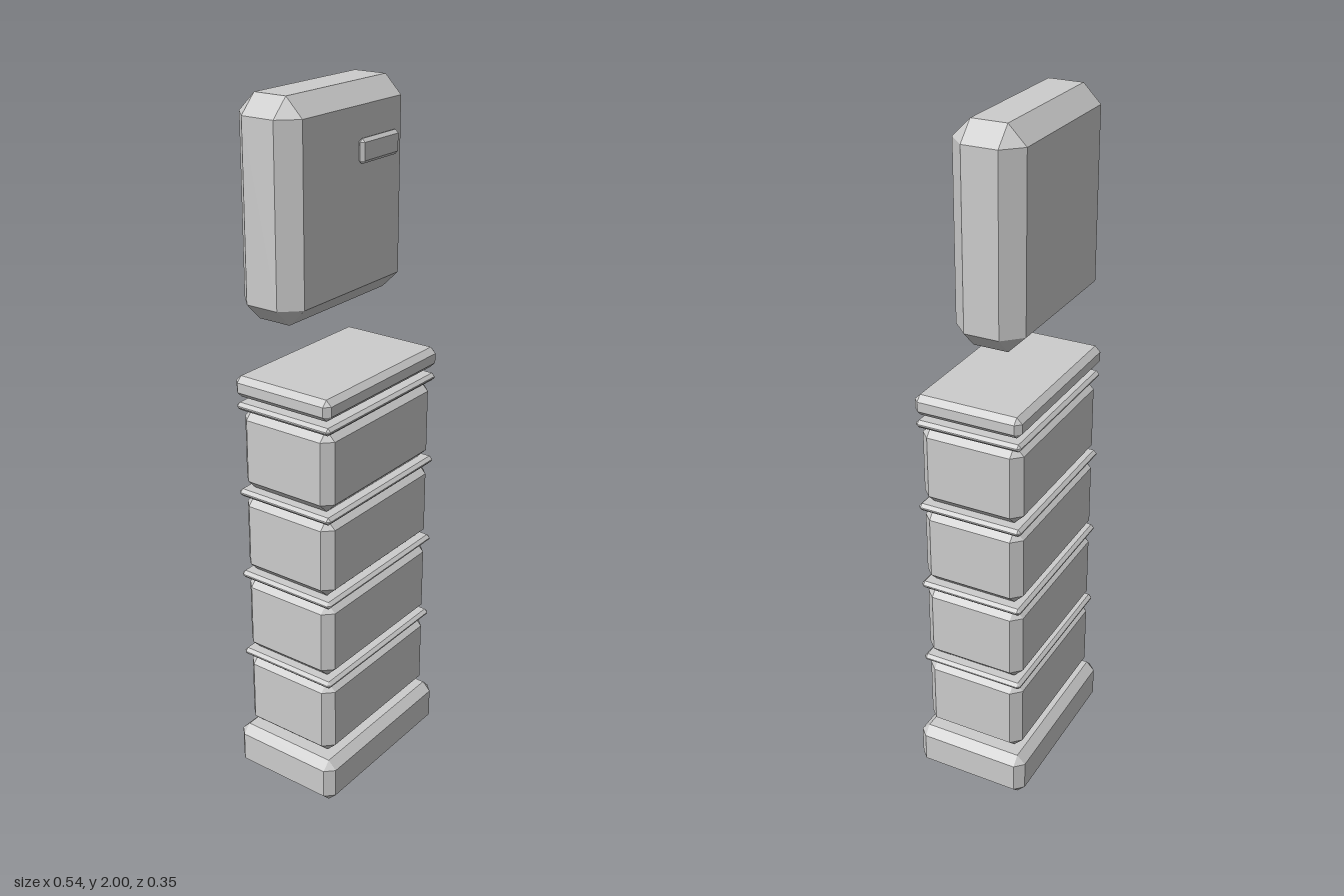
import * as THREE from 'three';
import { ConvexGeometry } from 'three/addons/geometries/ConvexGeometry.js';

// Box with bevelled edges and triangular corner cuts
function chamferBox(w, h, d, c) {
  const x = w / 2, y = h / 2, z = d / 2, points = [];
  for (const sx of [-1, 1]) for (const sy of [-1, 1]) for (const sz of [-1, 1]) {
    points.push(
      new THREE.Vector3(sx * x, sy * (y - c), sz * (z - c)),
      new THREE.Vector3(sx * (x - c), sy * y, sz * (z - c)),
      new THREE.Vector3(sx * (x - c), sy * (y - c), sz * z));
  }
  return new ConvexGeometry(points);
}

export function createModel() {
  const model = new THREE.Group();
  model.name = 'segmentedTower';
  const grey = new THREE.MeshStandardMaterial({ color: 0xcccccc, flatShading: true });
  grey.name = 'light grey';

  function add(name, geometry, x, y, z) {
    const mesh = new THREE.Mesh(geometry, grey);
    mesh.name = name;
    mesh.position.set(x, y, z);
    model.add(mesh);
  }

  // Foot
  add('base', chamferBox(0.543, 0.138, 0.348, 0.025), 0, 0.069, 0);

  // Four stacked blocks, each topped by a thin band
  const block = chamferBox(0.494, 0.238, 0.304, 0.028);
  const band = chamferBox(0.506, 0.022, 0.314, 0.009);
  for (let i = 0; i < 4; i++) {
    const y = 0.149 + i * 0.259;
    add('block' + (i + 1), block, 0, y + 0.119, 0);
    add('band' + (i + 1), band, 0, y + 0.246, 0);
  }

  // Lid of the stack
  add('cap', chamferBox(0.517, 0.06, 0.317, 0.016), 0, 1.23, 0);

  // Floating upper case with a raised plate on its front
  add('head', chamferBox(0.517, 0.58, 0.199, 0.05), 0, 1.71, -0.051);
  add('plate', chamferBox(0.167, 0.065, 0.02, 0.009), 0.099, 1.835, 0.056);

  return model;
}
